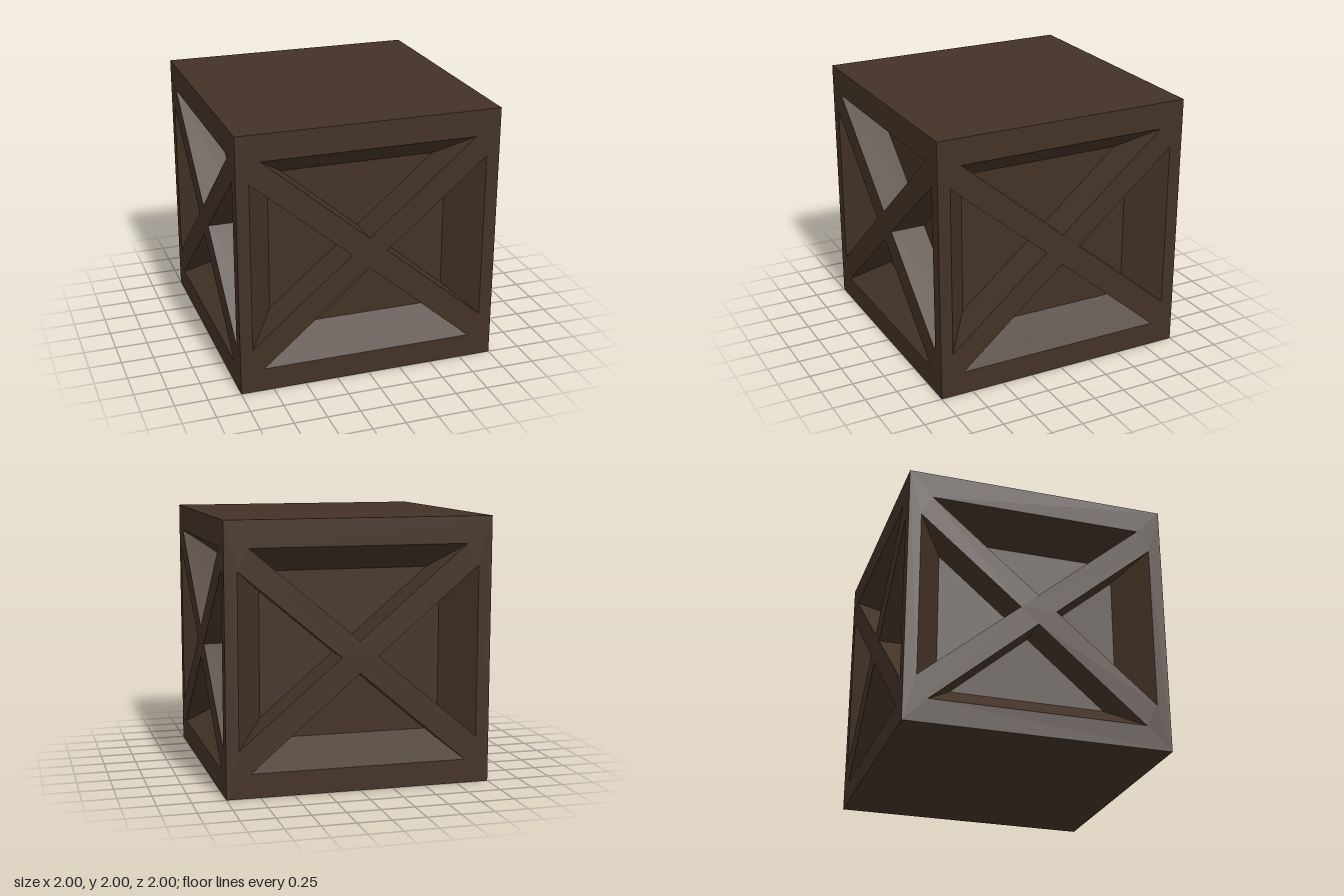
import * as THREE from 'three';

const DEPTH = 0.27; // how far the side panels are set back
const TAPER = 0.275; // how much of each opening its sloped outer wall takes up

// Openings between the frame and the crossed braces: two outer corners, then the apex (counter-clockwise)
const OPENINGS = {
  upper: [[0.81, 1.8], [-0.82, 1.8], [-0.005, 1.11]],
  lower: [[-0.82, 0.18], [0.81, 0.18], [-0.005, 0.875]],
  left: [[-0.905, 1.64], [-0.905, 0.35], [-0.14, 0.995]],
  right: [[0.9, 0.35], [0.9, 1.64], [0.135, 0.995]],
};

function facesGeometry(points) {
  const geometry = new THREE.BufferGeometry().setFromPoints(points);
  geometry.computeVertexNormals();
  return geometry;
}

function createSide(wood) {
  const side = new THREE.Group();
  const add = (name, geometry) => {
    const mesh = new THREE.Mesh(geometry, wood);
    mesh.name = name;
    side.add(mesh);
    return mesh;
  };

  // Frame and crossed braces, flush with the outside of the crate
  const frame = new THREE.Shape([[-1, 0], [1, 0], [1, 2], [-1, 2]].map((p) => new THREE.Vector2(...p)));
  for (const corners of Object.values(OPENINGS)) {
    frame.holes.push(new THREE.Path(corners.map((p) => new THREE.Vector2(...p))));
  }
  add('frameAndBraces', new THREE.ShapeGeometry(frame)).position.z = 1;

  for (const [name, corners] of Object.entries(OPENINGS)) {
    const rim = corners.map(([x, y]) => new THREE.Vector3(x, y, 1));
    const floor = rim.map((p, i) => {
      const q = i < 2 ? p.clone().lerp(rim[2], TAPER) : p.clone();
      return q.setZ(1 - DEPTH);
    });

    // Sloped outer wall and the two straight brace walls
    const walls = [];
    for (let i = 0; i < 3; i++) {
      const j = (i + 1) % 3;
      walls.push(rim[i], rim[j], floor[j], rim[i], floor[j], floor[i]);
    }
    add(`${name}RecessWalls`, facesGeometry(walls));

    // Recessed panel
    add(`${name}Panel`, facesGeometry(floor));
  }
  return side;
}

export function createModel() {
  const crate = new THREE.Group();
  crate.name = 'crate';
  const wood = new THREE.MeshStandardMaterial({ color: 0x433226 });
  wood.name = 'darkWood';

  // Four identical sides
  ['frontSide', 'rightSide', 'backSide', 'leftSide'].forEach((name, i) => {
    const side = createSide(wood);
    side.name = name;
    side.rotation.y = (i * Math.PI) / 2;
    crate.add(side);
  });

  // Plain lid and base
  for (const [name, y, turn] of [['lid', 2, -1], ['base', 0, 1]]) {
    const board = new THREE.Mesh(new THREE.PlaneGeometry(2, 2), wood);
    board.name = name;
    board.position.y = y;
    board.rotation.x = (turn * Math.PI) / 2;
    crate.add(board);
  }
  return crate;
}
